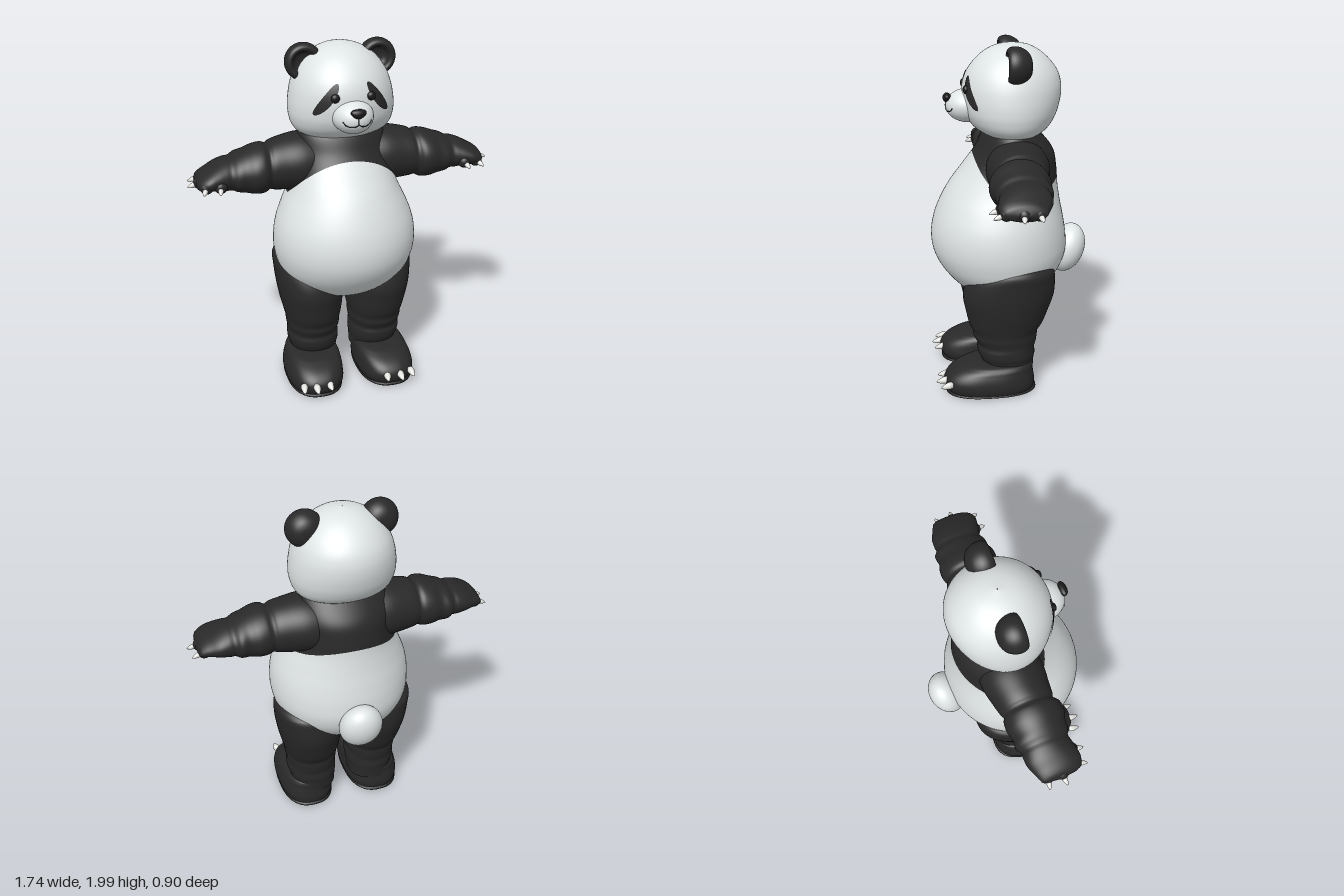
import * as THREE from 'three';

const mat = (name, color, side = THREE.FrontSide) => {
  const m = new THREE.MeshStandardMaterial({ color, side });
  m.name = name;
  return m;
};

// Smooth lookup in a table whose rows are [t, radius, zBack, zFront, centre]
function sample(table, t) {
  const n = table.length;
  let i = 0;
  while (i < n - 2 && t > table[i + 1][0]) i++;
  const a = table[i], b = table[i + 1], p = table[Math.max(i - 1, 0)], q = table[Math.min(i + 2, n - 1)];
  const h = b[0] - a[0], u = THREE.MathUtils.clamp((t - a[0]) / h, 0, 1);
  return [1, 2, 3, 4].map((k) => {
    const A = a[k] ?? 0, B = b[k] ?? 0;
    const ma = (B - (p[k] ?? 0)) / (b[0] - p[0]) * h, mb = ((q[k] ?? 0) - A) / (q[0] - a[0]) * h;
    return A + u * ma + u * u * (3 * (B - A) - 2 * ma - mb) + u * u * u * (ma + mb - 2 * (B - A));
  });
}

const spow = (v, e) => Math.sign(v) * Math.abs(v) ** e;

// Closed skin around the y axis; lo and hi may vary with the angle (0 = front)
function skin(table, { lo, hi, rows = 48, cols = 56, power = 2 } = {}) {
  lo ??= () => table[0][0];
  hi ??= () => table[table.length - 1][0];
  const pos = [], index = [];
  for (let j = 0; j <= rows; j++) {
    for (let i = 0; i < cols; i++) {
      const a = (i / cols) * Math.PI * 2;
      const t = THREE.MathUtils.lerp(lo(a), hi(a), j / rows);
      const [r, zb, zf, c] = sample(table, t);
      pos.push(c + r * spow(Math.sin(a), 2 / power), t, (zb + zf) / 2 + (zf - zb) / 2 * spow(Math.cos(a), 2 / power));
      if (j < rows) {
        const p = j * cols + i, q = j * cols + (i + 1) % cols;
        index.push(p, q, q + cols, p, q + cols, p + cols);
      }
    }
  }
  const g = new THREE.BufferGeometry();
  g.setAttribute('position', new THREE.Float32BufferAttribute(pos, 3));
  g.setIndex(index);
  g.computeVertexNormals();
  return g;
}

function mirrored(geo) {
  const g = geo.clone().applyMatrix4(new THREE.Matrix4().makeScale(-1, 1, 1));
  const ix = g.index.array;
  for (let i = 0; i < ix.length; i += 3) [ix[i], ix[i + 1]] = [ix[i + 1], ix[i]];
  return g;
}

const ball = (x, y, z, rx, ry, rz) =>
  new THREE.SphereGeometry(1, 36, 24).scale(rx, ry, rz).translate(x, y, z);

function clawGeometry(base, dir, size = 1) {
  const pts = [[0, -0.015], [0.018, -0.005], [0.02, 0.012], [0.014, 0.035], [0.006, 0.052], [0, 0.058]];
  const g = new THREE.LatheGeometry(pts.map(([r, y]) => new THREE.Vector2(r * size, y * size)), 12);
  const q = new THREE.Quaternion().setFromUnitVectors(new THREE.Vector3(0, 1, 0), new THREE.Vector3(...dir).normalize());
  return g.applyQuaternion(q).translate(...base);
}

const TORSO = [
  [0.515, 0.02, 0.0, 0.06], [0.54, 0.13, -0.09, 0.17], [0.6, 0.265, -0.2, 0.28], [0.7, 0.365, -0.29, 0.375],
  [0.8, 0.4, -0.33, 0.43], [0.9, 0.407, -0.33, 0.446], [1.0, 0.392, -0.315, 0.432], [1.1, 0.355, -0.295, 0.395],
  [1.2, 0.31, -0.28, 0.34], [1.3, 0.285, -0.272, 0.265], [1.4, 0.27, -0.25, 0.19], [1.5, 0.24, -0.17, 0.14],
  [1.54, 0.2, -0.13, 0.1],
];
const HEAD = [
  [1.478, 0.002, -0.02, -0.018], [1.482, 0.15, -0.13, 0.09], [1.5, 0.225, -0.175, 0.14], [1.54, 0.27, -0.225, 0.2],
  [1.6, 0.291, -0.262, 0.24], [1.66, 0.294, -0.282, 0.256], [1.72, 0.287, -0.292, 0.26], [1.78, 0.273, -0.29, 0.252],
  [1.84, 0.248, -0.27, 0.228], [1.9, 0.205, -0.225, 0.183], [1.95, 0.145, -0.165, 0.123], [1.98, 0.075, -0.1, 0.055],
  [1.992, 0.002, -0.022, -0.018],
];
const LEG = [
  [0.12, 0.14, -0.12, 0.16, 0.19], [0.19, 0.14, -0.125, 0.18, 0.185], [0.22, 0.148, -0.13, 0.195, 0.188],
  [0.27, 0.15, -0.128, 0.205, 0.19], [0.29, 0.146, -0.135, 0.2, 0.19], [0.34, 0.155, -0.143, 0.225, 0.19],
  [0.37, 0.156, -0.145, 0.228, 0.191], [0.42, 0.166, -0.175, 0.25, 0.192], [0.5, 0.181, -0.205, 0.268, 0.196],
  [0.6, 0.192, -0.236, 0.283, 0.202], [0.7, 0.193, -0.24, 0.255, 0.21], [0.76, 0.188, -0.225, 0.2, 0.215],
  [0.79, 0.165, -0.18, 0.16, 0.21], [0.83, 0.08, -0.08, 0.08, 0.2],
];
const FOOT = [
  [0.008, 0.002, 0.1, 0.104, 0.215], [0.01, 0.135, -0.1, 0.35, 0.215], [0.025, 0.155, -0.117, 0.378, 0.215],
  [0.06, 0.166, -0.124, 0.398, 0.215], [0.1, 0.164, -0.12, 0.396, 0.215], [0.14, 0.157, -0.115, 0.36, 0.21],
  [0.17, 0.145, -0.115, 0.3, 0.205], [0.188, 0.115, -0.1, 0.23, 0.2], [0.195, 0.04, -0.04, 0.12, 0.19],
];
// Arm runs along x, so the centre column holds minus the height
const ARM = [
  [0.14, 0.155, -0.2, 0.14, -1.335], [0.24, 0.16, -0.2, 0.15, -1.335], [0.34, 0.15, -0.18, 0.14, -1.33],
  [0.4, 0.138, -0.165, 0.135, -1.326], [0.42, 0.128, -0.155, 0.13, -1.322], [0.45, 0.139, -0.166, 0.155, -1.32],
  [0.5, 0.136, -0.168, 0.16, -1.316], [0.55, 0.122, -0.155, 0.145, -1.312], [0.6, 0.108, -0.16, 0.14, -1.308],
  [0.63, 0.093, -0.14, 0.125, -1.306], [0.66, 0.09, -0.142, 0.13, -1.305], [0.71, 0.076, -0.138, 0.14, -1.302],
  [0.76, 0.06, -0.118, 0.145, -1.293], [0.8, 0.045, -0.1, 0.125, -1.284], [0.82, 0.028, -0.08, 0.09, -1.278],
  [0.828, 0.002, 0.0, 0.004, -1.275],
];

// Front surface depth of the head
function headFront(x, y) {
  const [r, zb, zf] = sample(HEAD, y);
  return (zb + zf) / 2 + (zf - zb) / 2 * Math.sqrt(Math.max(0, 1 - (x / r) ** 2));
}

// Thin tilted oval hugging the head
function eyePatch() {
  const g = new THREE.RingGeometry(0.0001, 1, 40, 8);
  const p = g.attributes.position, tilt = -0.5;
  for (let i = 0; i < p.count; i++) {
    const v = p.getY(i) * 0.093, u = p.getX(i) * (0.054 - 0.1 * v);
    const x = 0.137 + u * Math.cos(tilt) + v * Math.sin(tilt);
    const y = 1.745 - u * Math.sin(tilt) * -1 + v * Math.cos(tilt);
    p.setXYZ(i, x, y, headFront(x, y) + 0.006);
  }
  g.computeVertexNormals();
  return g;
}

export function createModel() {
  const model = new THREE.Group();
  model.name = 'bear';
  const white = mat('whiteFur', 0xdfe4e4), black = mat('blackFur', 0x292929);
  const patch = mat('eyePatchFur', 0x292929, THREE.DoubleSide);
  const gloss = mat('noseAndEyeBlack', 0x1a1a1a), ivory = mat('clawIvory', 0xe2e2de);

  const add = (name, geo, material) => {
    const m = new THREE.Mesh(geo, material);
    m.name = name;
    model.add(m);
  };
  const pair = (name, geo, material) => {
    add('left' + name, geo, material);
    add('right' + name, mirrored(geo), material);
  };

  // Torso: white belly and black chest meet along an arched border
  const border = (a) => {
    const c = Math.cos(a);
    return 1.17 + (c > 0 ? 0.21 * c : 0.08 * c * c);
  };
  add('belly', skin(TORSO, { hi: border, cols: 72 }), white);
  add('chest', skin(TORSO, { lo: border, rows: 20, cols: 72 }), black);
  add('tail', ball(0, 0, 0, 0.125, 0.148, 0.1).rotateX(-0.35).translate(0, 0.782, -0.348), white);

  // Head, muzzle, nose and mouth
  add('head', skin(HEAD, { rows: 64, cols: 64 }), white);
  add('muzzle', ball(0, 1.65, 0.22, 0.113, 0.094, 0.128), white);
  const nose = ball(0, 0, 0, 0.04, 0.026, 0.024);
  const np = nose.attributes.position;
  for (let i = 0; i < np.count; i++) np.setX(i, np.getX(i) * (1 + np.getY(i) * 14));
  nose.computeVertexNormals();
  add('nose', nose.translate(0, 1.694, 0.338), gloss);
  const onMuzzle = ([x, y]) => new THREE.Vector3(x, y,
    0.22 + 0.128 * Math.sqrt(1 - (x / 0.113) ** 2 - ((y - 1.65) / 0.094) ** 2));
  const line = (pts) => new THREE.TubeGeometry(new THREE.CatmullRomCurve3(pts.map(onMuzzle)), 20, 0.003, 6);
  add('mouthCleft', line([[0, 1.675], [0, 1.655], [0, 1.637]]), gloss);
  pair('MouthLine', line([[0, 1.637], [0.02, 1.626], [0.045, 1.625], [0.065, 1.634], [0.077, 1.65]]), gloss);

  // Eyes and cupped ears
  pair('EyePatch', eyePatch(), patch);
  pair('Eye', ball(0.097, 1.755, headFront(0.097, 1.755), 0.024, 0.024, 0.018), gloss);
  const earProfile = [[0, -0.105], [0.04, -0.1], [0.075, -0.08], [0.097, -0.045], [0.103, -0.01], [0.096, 0.018],
    [0.08, 0.03], [0.064, 0.022], [0.054, 0.0], [0.035, -0.015], [0, -0.02]];
  const ear = new THREE.LatheGeometry(new THREE.SplineCurve(earProfile.map((p) => new THREE.Vector2(...p))).getPoints(40), 40);
  pair('Ear', ear.rotateX(Math.PI / 2).translate(0.206, 1.895, 0), black);

  // Arms with fingers and claws
  pair('Arm', skin(ARM, { rows: 70, cols: 48 }).rotateZ(-Math.PI / 2), black);
  const fingers = [[0.7, 0.115, 0.15, 1], [0.775, 0.105, 0.35, 1], [0.8, 0.02, 1, 0.1], [0.79, -0.055, 1, -0.2]];
  fingers.forEach(([x, z, dx, dz], i) => {
    pair('Finger' + (i + 1), ball(x, 1.275, z, 0.036, 0.036, 0.036), black);
    const d = new THREE.Vector3(dx, -0.3, dz).normalize();
    pair('HandClaw' + (i + 1), clawGeometry([x + d.x * 0.03, 1.268, z + d.z * 0.03], d.toArray(), 0.75), ivory);
  });

  // Legs, feet and toe claws
  pair('Leg', skin(LEG, { rows: 64, power: 2.15 }), black);
  pair('Foot', skin(FOOT, { power: 2.5 }), black);
  [[0.175, 0.378], [0.253, 0.39], [0.322, 0.368]].forEach(([x, z], i) =>
    pair('ToeClaw' + (i + 1), clawGeometry([x, 0.09, z], [(x - 0.24) * 1.5, -0.2, 1], 1.05), ivory));

  return model;
}
